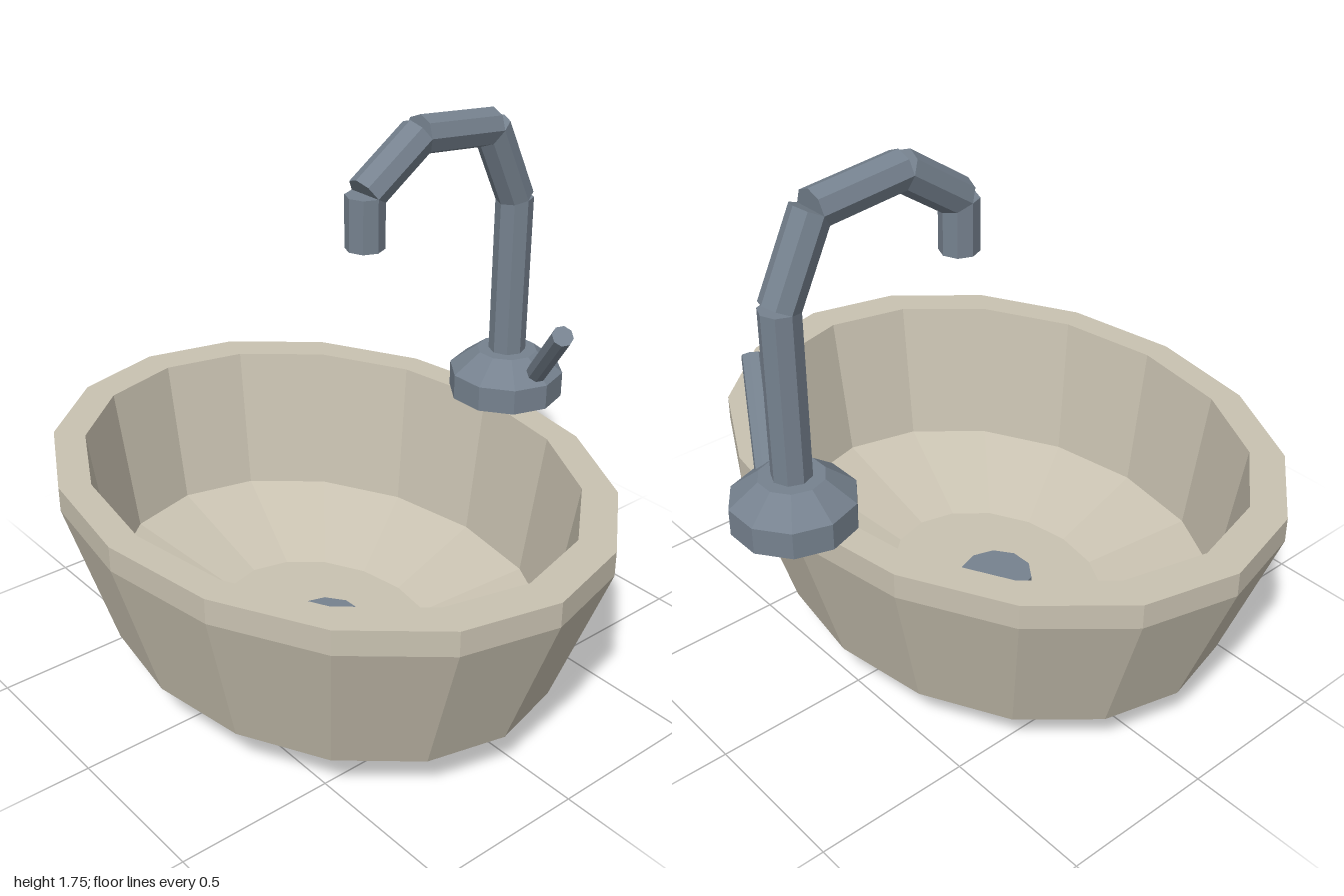
import * as THREE from 'three';

const ceramic = new THREE.MeshStandardMaterial({ color: 0xc9c2b1, flatShading: true });
ceramic.name = 'ceramic';
const metal = new THREE.MeshStandardMaterial({ color: 0x76828f, flatShading: true });
metal.name = 'metal';

// Faceted turned part from [radius, height] pairs, listed from the underside outwards
function turned(name, profile, sides, material) {
  const points = profile.map(([r, y]) => new THREE.Vector2(r, y));
  const mesh = new THREE.Mesh(new THREE.LatheGeometry(points, sides), material);
  mesh.name = name;
  return mesh;
}

// Eight-sided rod between two points
function rod(name, from, to, radius) {
  const a = new THREE.Vector3(...from);
  const b = new THREE.Vector3(...to);
  const dir = b.clone().sub(a);
  const mesh = new THREE.Mesh(new THREE.CylinderGeometry(radius, radius, dir.length(), 8), metal);
  mesh.name = name;
  mesh.position.copy(a).add(b).multiplyScalar(0.5);
  mesh.quaternion.setFromUnitVectors(new THREE.Vector3(0, 1, 0), dir.normalize());
  return mesh;
}

export function createModel() {
  const model = new THREE.Group();
  model.name = 'washbasin';

  // Oval bowl: underside, outer wall, rim, inner wall and floor
  const bowl = turned('bowl', [
    [0, 0], [0.48, 0], [0.82, 0.16], [1, 0.64], [1, 0.72],
    [0.88, 0.72], [0.8, 0.24], [0.4, 0.12], [0, 0.12],
  ], 16, ceramic);
  bowl.scale.z = 0.78;
  bowl.position.z = 0.09;
  model.add(bowl);

  // Drain in the middle of the floor
  const drain = turned('drain', [[0, 0.115], [0.12, 0.115], [0.12, 0.135], [0, 0.135]], 10, metal);
  drain.rotation.y = Math.PI / 2;
  drain.position.z = 0.09;
  model.add(drain);

  // Tap on the back of the rim
  const tap = new THREE.Group();
  tap.name = 'tap';
  const base = turned('tapBase', [[0, 0.725], [0.19, 0.725], [0.19, 0.81], [0.1, 0.88], [0, 0.88]], 10, metal);
  base.rotation.y = Math.PI / 2;
  base.position.z = -0.69;
  tap.add(base);

  // Gooseneck of straight pieces, as [y, z] joints
  const joints = [[0.86, -0.69], [1.41, -0.69], [1.66, -0.57], [1.69, -0.27], [1.55, -0.065], [1.385, -0.065]];
  for (let i = 0; i < joints.length - 1; i++) {
    tap.add(rod(`spoutPiece${i + 1}`, [0, ...joints[i]], [0, ...joints[i + 1]], 0.061));
  }

  // Lever on the left
  tap.add(rod('lever', [0.135, 0.83, -0.69], [0.348, 1.075, -0.572], 0.035));
  model.add(tap);

  return model;
}
